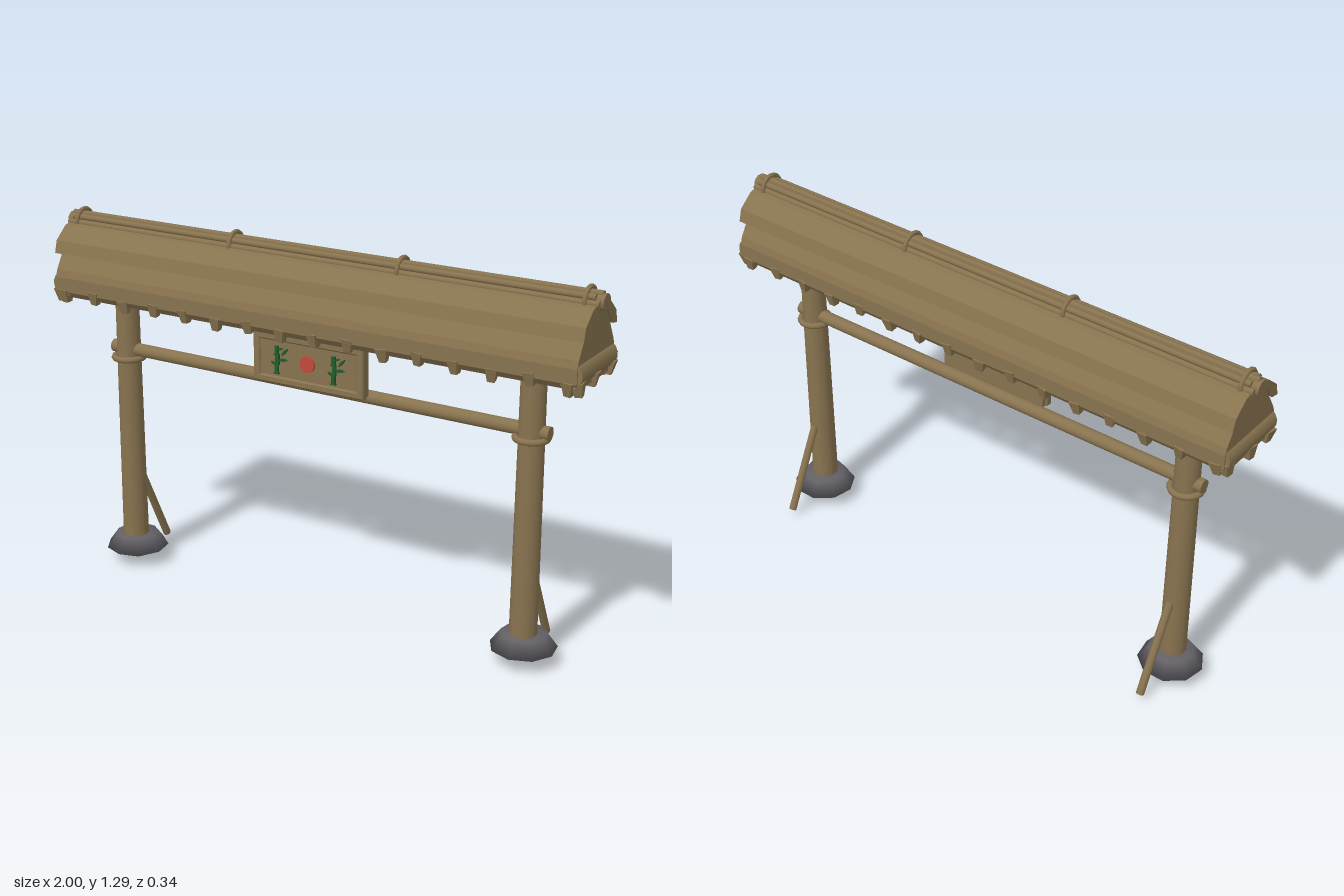
import * as THREE from 'three';

export function createModel() {
  const root = new THREE.Group();
  root.name = 'bambooGate';
  const gate = new THREE.Group();
  gate.name = 'gate';
  gate.position.z = 0.028;
  root.add(gate);

  const mat = (name, color) => {
    const m = new THREE.MeshStandardMaterial({ color });
    m.name = name;
    return m;
  };
  const wood = mat('wood', 0x88734f);
  const stone = mat('stone', 0x626065);
  const red = mat('red', 0xc04a3c);
  const green = mat('green', 0x1f5c2c);

  const add = (name, geo, material, x = 0, y = 0, z = 0, parent = gate) => {
    const mesh = new THREE.Mesh(geo, material);
    mesh.name = name;
    mesh.position.set(x, y, z);
    parent.add(mesh);
    return mesh;
  };

  // Round pole between two points
  const pole = (name, a, b, r, sides = 14) => {
    const p = new THREE.Vector3(...a), q = new THREE.Vector3(...b);
    const mesh = add(name, new THREE.CylinderGeometry(r, r, p.distanceTo(q), sides), wood);
    mesh.position.copy(p).add(q).multiplyScalar(0.5);
    mesh.quaternion.setFromUnitVectors(new THREE.Vector3(0, 1, 0), q.sub(p).normalize());
    return mesh;
  };

  // Cross-section in (z, y), extruded along x and centred
  const extrudeX = (points, length) => {
    const shape = new THREE.Shape(points.map(([d, y]) => new THREE.Vector2(d, y)));
    const geo = new THREE.ExtrudeGeometry(shape, { depth: length, bevelEnabled: false });
    return geo.translate(0, 0, -length / 2).rotateY(Math.PI / 2);
  };
  const mirrored = half => [...half, ...half.map(([d, y]) => [-d, y]).reverse()];

  // Posts with stone feet, lashings and rear braces
  const foot = [[0, 0], [0.112, 0.053], [0.076, 0.103], [0, 0.106]].map(p => new THREE.Vector2(...p));
  for (const side of [-1, 1]) {
    const x = side * 0.777;
    add('post', new THREE.CylinderGeometry(0.041, 0.046, 0.93, 16), wood, x, 0.555, 0);
    add('footStone', new THREE.LatheGeometry(foot, 9), stone, x, 0, -0.006);
    add('postLashing', new THREE.TorusGeometry(0.052, 0.011, 8, 18), wood, x, 0.777, 0).rotation.x = Math.PI / 2;
    pole('brace', [x, 0.33, -0.04], [x, 0.03, -0.186], 0.014, 10);
  }

  // Horizontal beams
  pole('crossBar', [-0.84, 0.808, 0], [0.84, 0.8, 0], 0.023);
  pole('topBeam', [-0.92, 1.0, 0], [0.92, 1.0, 0], 0.035);

  // Lower roof body with rounded ends
  add('lowerRoof', extrudeX(mirrored([
    [0.122, 1.0], [0.137, 1.02], [0.138, 1.07], [0.13, 1.095], [0.1, 1.145], [0.065, 1.2], [0.03, 1.235],
  ]), 1.95), wood);
  for (const side of [-1, 1]) {
    const roll = add('endRoll', new THREE.CylinderGeometry(0.044, 0.044, 0.265, 14), wood, side * 0.947, 1.046, 0);
    roll.rotation.x = Math.PI / 2;
  }

  // Overhanging upper roof shell
  add('upperRoof', extrudeX([
    [0.125, 1.15], [0.113, 1.193], [0.062, 1.236], [0, 1.25],
    [-0.062, 1.236], [-0.113, 1.193], [-0.125, 1.15],
    [-0.095, 1.155], [-0.05, 1.212], [0.05, 1.212], [0.095, 1.155],
  ], 1.97), wood);

  // Ridge bundle of poles held by rings
  pole('ridgePole', [-1, 1.245, 0], [1, 1.245, 0], 0.027);
  for (let i = 0; i < 5; i++) {
    const a = Math.PI * i / 4, l = i % 2 ? 0.975 : 0.99;
    const z = Math.cos(a) * 0.031, y = 1.243 + Math.sin(a) * 0.026;
    pole('ridgeCane', [-l, y, z], [l, y, z], 0.011, 8);
  }
  for (const x of [-0.95, -0.317, 0.313, 0.945]) {
    add('ridgeRing', new THREE.TorusGeometry(0.041, 0.008, 8, 16), wood, x, 1.245, 0).rotation.y = Math.PI / 2;
  }

  // Tapered pegs under the eaves, along both sides and both ends
  const pegGeo = new THREE.CylinderGeometry(0.027, 0.016, 0.046, 4);
  pegGeo.rotateY(Math.PI / 4);
  const flatPeg = pegGeo.toNonIndexed();
  flatPeg.computeVertexNormals();
  const peg = (x, z, i) => {
    const p = add('eavePeg', flatPeg, wood, x, 1.007 + 0.006 * Math.sin(i * 2.4), z);
    p.rotation.set(z * 0.8, 0.15 * Math.sin(i * 1.7), 0.1 * Math.sin(i * 3.1));
  };
  for (let i = 0; i < 16; i++) {
    for (const z of [-0.122, 0.122]) peg(-0.945 + i * 0.126, z, i + z * 20);
  }
  for (const x of [-0.972, 0.972]) {
    for (const z of [-0.115, 0.01, 0.112]) peg(x, z, z * 30 + x);
  }

  // Hanging sign: board and raised frame
  const sign = new THREE.Group();
  sign.name = 'sign';
  sign.position.set(0, 0.897, 0);
  gate.add(sign);
  add('signBoard', new THREE.BoxGeometry(0.41, 0.17, 0.04), wood, 0, 0, 0.04, sign);
  const rect = (Type, w, h) => new Type([[-w, -h], [w, -h], [w, h], [-w, h]].map(p => new THREE.Vector2(...p)));
  const frameShape = rect(THREE.Shape, 0.205, 0.082);
  frameShape.holes.push(rect(THREE.Path, 0.188, 0.066));
  add('signFrame', new THREE.ExtrudeGeometry(frameShape, {
    depth: 0.02, bevelThickness: 0.005, bevelSize: 0.005, bevelSegments: 1,
  }), wood, 0, 0, 0.041, sign);

  // Painted disc and bamboo sprigs
  const disc = add('redDisc', new THREE.CylinderGeometry(0.028, 0.028, 0.008, 20), red, 0, 0, 0.064, sign);
  disc.rotation.x = Math.PI / 2;
  const leaf = new THREE.Shape();
  leaf.moveTo(0, 0);
  leaf.quadraticCurveTo(0.018, 0.013, 0.036, 0);
  leaf.quadraticCurveTo(0.018, -0.007, 0, 0);
  const leafGeo = new THREE.ExtrudeGeometry(leaf, { depth: 0.007, bevelEnabled: false, curveSegments: 4 });
  for (const x of [-0.118, 0.1]) {
    const sprig = new THREE.Group();
    sprig.name = 'bambooSprig';
    sprig.position.set(x, 0, 0.06);
    sign.add(sprig);
    for (let i = 0; i < 3; i++) {
      add('stalk', new THREE.BoxGeometry(0.013, 0.029, 0.008), green, 0.003 * (i % 2), -0.034 + i * 0.032, 0.004, sprig);
      add('stalkJoint', new THREE.BoxGeometry(0.019, 0.005, 0.009), green, 0, -0.049 + i * 0.032, 0.0045, sprig);
    }
    [[0.006, -0.004, 0.1], [0.02, 0.012, 0.9], [0.004, 0.03, 0.4], [-0.002, -0.02, 2.7]].forEach(([lx, ly, a], i) => {
      const l = add('leaf', leafGeo, green, lx, ly, 0, sprig);
      l.rotation.z = a;
      if (i > 1) l.scale.set(0.6, 0.8, 1);
    });
  }
  return root;
}
